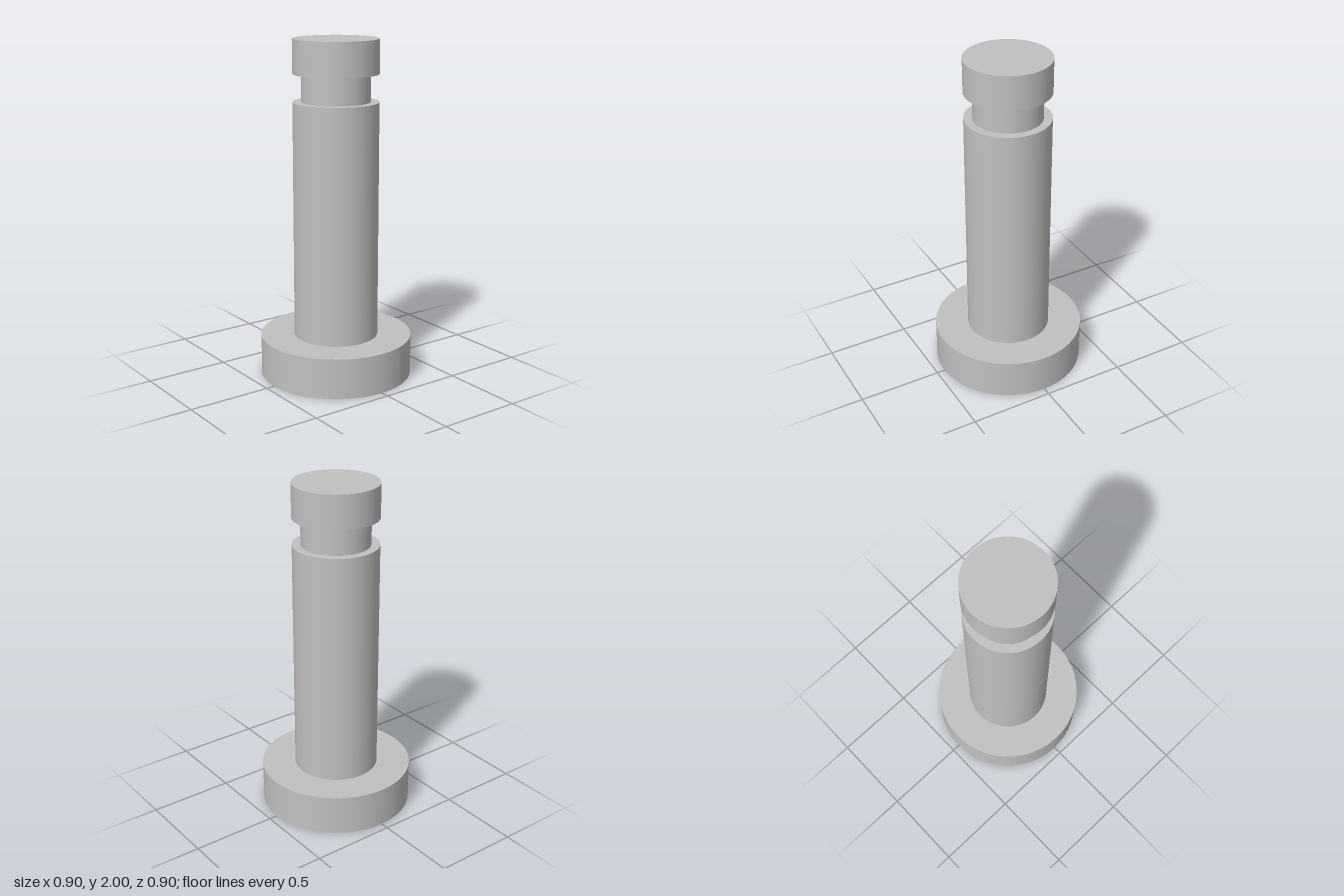
import * as THREE from 'three';

const SEGMENTS = 72;

export function createModel() {
  const model = new THREE.Group();
  model.name = 'headedPin';
  const steel = new THREE.MeshStandardMaterial({ color: 0xc0c0c0 });
  steel.name = 'steel grey';

  function add(name, geometry, y) {
    const mesh = new THREE.Mesh(geometry, steel);
    mesh.name = name;
    mesh.position.y = y;
    model.add(mesh);
  }

  // Cylindrical walls, stacked from the ground up
  const wall = (name, radius, y0, y1) =>
    add(name, new THREE.CylinderGeometry(radius, radius, y1 - y0, SEGMENTS, 1, true), (y0 + y1) / 2);

  // Flat annular step between two radii, facing up or down
  const step = (name, inner, outer, y, up) =>
    add(name, new THREE.RingGeometry(inner, outer, SEGMENTS).rotateX(up ? -Math.PI / 2 : Math.PI / 2), y);

  // Flat end disc
  const disc = (name, radius, y, up) =>
    add(name, new THREE.CircleGeometry(radius, SEGMENTS).rotateX(up ? -Math.PI / 2 : Math.PI / 2), y);

  // Wide head at the bottom
  disc('headUnderside', 0.45, 0, false);
  wall('headRim', 0.45, 0, 0.24);
  step('headShoulder', 0.25, 0.45, 0.24, true);

  // Long shaft
  wall('shaft', 0.25, 0.24, 1.64);

  // Retaining groove
  step('grooveFloor', 0.2, 0.25, 1.64, true);
  wall('grooveNeck', 0.2, 1.64, 1.8);
  step('grooveCeiling', 0.2, 0.25, 1.8, false);

  // Tip above the groove
  wall('tip', 0.25, 1.8, 2);
  disc('tipTop', 0.25, 2, true);

  return model;
}
